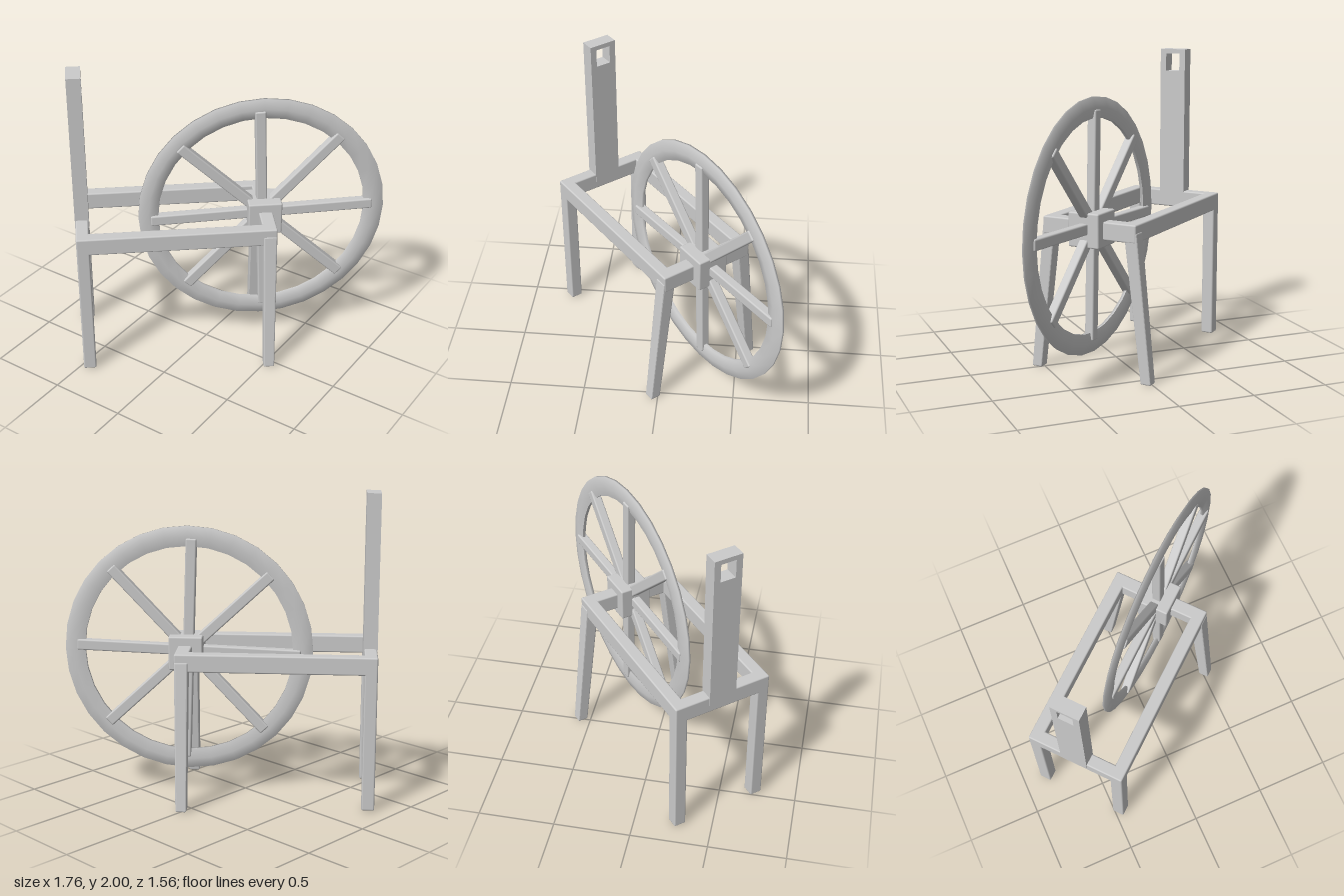
import * as THREE from 'three';
import { RoundedBoxGeometry } from 'three/addons/geometries/RoundedBoxGeometry.js';

const material = new THREE.MeshStandardMaterial({ color: 0xcccccc });

export function createModel() {
  const model = new THREE.Group();
  model.name = 'spinningWheel';
  model.rotation.y = THREE.MathUtils.degToRad(40);

  const add = (name, geometry, parent = model) => {
    const mesh = new THREE.Mesh(geometry, material);
    mesh.name = name;
    parent.add(mesh);
    return mesh;
  };
  // softened beam between opposite corners
  const beam = (name, x0, x1, y0, y1, z0, z1, parent) => {
    const mesh = add(name, new RoundedBoxGeometry(x1 - x0, y1 - y0, z1 - z0, 2, 0.01), parent);
    mesh.position.set((x0 + x1) / 2, (y0 + y1) / 2, (z0 + z1) / 2);
    return mesh;
  };

  const midZ = -0.032;
  const half = 0.288; // half the distance between the rails
  const backX = -0.807;
  const axleX = 0.38;

  // rectangular frame: two rails, back crossbar and axle beam
  beam('backCrossbar', backX - 0.041, backX + 0.041, 0.895, 1.01, midZ - half - 0.041, midZ + half + 0.041);
  beam('axleBeam', axleX - 0.045, axleX + 0.045, 0.895, 1.01, midZ - half - 0.04, midZ + half + 0.04);

  for (const side of [-1, 1]) {
    const z = midZ + side * half;
    beam('rail', backX - 0.04, axleX + 0.045, 0.895, 1.01, z - 0.041, z + 0.041);
    beam('backLeg', backX - 0.041, backX + 0.041, 0.005, 0.98, z - 0.041, z + 0.041);

    // front legs taper and splay outward toward the floor
    const leg = new RoundedBoxGeometry(0.088, 0.96, 0.088, 2, 0.01);
    leg.translate(0, 0.48, 0);
    const p = leg.attributes.position;
    for (let i = 0; i < p.count; i++) {
      const drop = 1 - p.getY(i) / 0.96;
      const scale = 1 - 0.2 * drop;
      p.setX(i, p.getX(i) * scale);
      p.setZ(i, p.getZ(i) * scale + side * 0.107 * drop);
    }
    leg.computeVertexNormals();
    add('frontLeg', leg).position.set(axleX, 0, z);
  }

  // upright post with a rectangular slot near its top
  const outline = new THREE.Shape([[-0.092, 0.95], [0.092, 0.95], [0.092, 2], [-0.092, 2]]
    .map(([x, y]) => new THREE.Vector2(x, y)));
  outline.holes.push(new THREE.Path([[-0.05, 1.85], [-0.05, 1.97], [0.05, 1.97], [0.05, 1.85]]
    .map(([x, y]) => new THREE.Vector2(x, y))));
  const postGeometry = new THREE.ExtrudeGeometry(outline, { depth: 0.09, bevelEnabled: false });
  postGeometry.translate(0, 0, -0.045);
  const post = add('post', postGeometry);
  post.rotation.y = Math.PI / 2;
  post.position.set(backX, 0, -0.038);

  // wheel: lens-section rim, eight spokes and a square hub
  const wheel = new THREE.Group();
  wheel.name = 'wheel';
  wheel.position.set(0.368, 0.963, midZ);
  model.add(wheel);

  const profile = [[0.68, -0.01], [0.745, -0.024], [0.81, -0.007], [0.81, 0.007],
    [0.745, 0.024], [0.68, 0.01], [0.68, -0.01]].map(([r, y]) => new THREE.Vector2(r, y));
  add('rim', new THREE.LatheGeometry(profile, 32), wheel).rotation.x = Math.PI / 2;

  for (let i = 0; i < 8; i++) {
    const spoke = new THREE.Group();
    spoke.name = 'spokeArm';
    spoke.rotation.z = (i * Math.PI) / 4 + 0.035;
    wheel.add(spoke);
    beam('spoke', 0.05, 0.73, -0.035, 0.035, -0.03, 0.03, spoke);
  }
  beam('hub', -0.1, 0.12, -0.115, 0.105, -0.105, 0.108, wheel);

  const group = new THREE.Group();
  group.add(model);
  return group;
}
